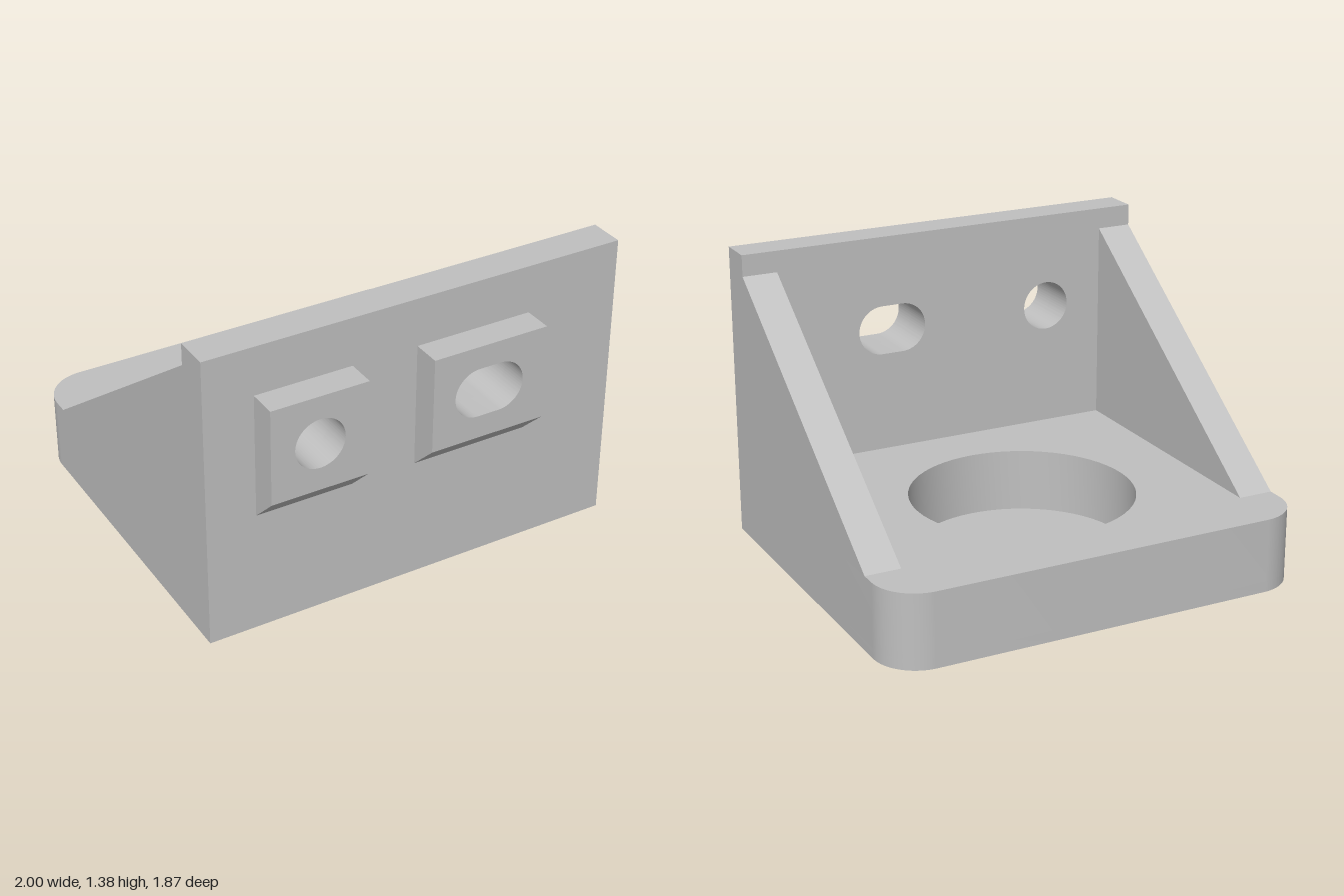
import * as THREE from 'three';
import { toCreasedNormals } from 'three/addons/utils/BufferGeometryUtils.js';

const grey = new THREE.MeshStandardMaterial({ color: 0xc0c0c0 });
grey.name = 'grey';

const WALL_BACK = 0.635, WALL_FRONT = 0.8, PAD_FRONT = 0.935;
const BASE_TOP = 0.346, FLOOR_TOP = 0.05, HOLE_Y = 0.935, HOLE_R = 0.117;

function polygon(points) {
  return new THREE.Shape(points.map(([x, y]) => new THREE.Vector2(x, y)));
}

function rectangle(x0, y0, x1, y1) {
  return polygon([[x0, y0], [x1, y0], [x1, y1], [x0, y1]]);
}

// Stadium hole between two arc centres; equal centres give a round hole
function slot(x0, x1) {
  const path = new THREE.Path();
  path.absarc(x1, HOLE_Y, HOLE_R, -Math.PI / 2, Math.PI / 2, false);
  path.absarc(x0, HOLE_Y, HOLE_R, Math.PI / 2, Math.PI * 1.5, false);
  return path;
}

function extrude(shape, depth) {
  return new THREE.ExtrudeGeometry(shape, { depth, bevelEnabled: false, curveSegments: 32 });
}

function addPart(group, name, geometry) {
  const mesh = new THREE.Mesh(toCreasedNormals(geometry, 0.5), grey);
  mesh.name = name;
  group.add(mesh);
  return mesh;
}

// Base outline in plan (shape y is -z), with two rounded rear corners
function baseOutline() {
  const r = 0.2, back = 0.935;
  const s = new THREE.Shape();
  s.moveTo(-1, -WALL_BACK);
  s.lineTo(1, -WALL_BACK);
  s.lineTo(1, back - r);
  s.absarc(1 - r, back - r, r, 0, Math.PI / 2, false);
  s.lineTo(-1 + r, back);
  s.absarc(-1 + r, back - r, r, Math.PI / 2, Math.PI, false);
  s.closePath();
  return s;
}

export function createModel() {
  const model = new THREE.Group();
  model.name = 'mountingBracket';

  // Base: thin floor below a slab with the round pocket
  addPart(model, 'baseFloor', extrude(baseOutline(), FLOOR_TOP).rotateX(-Math.PI / 2));
  const slab = baseOutline();
  slab.holes.push(new THREE.Path().absarc(0, 0.155, 0.515, 0, Math.PI * 2, false));
  addPart(model, 'baseSlab',
    extrude(slab, BASE_TOP - FLOOR_TOP).rotateX(-Math.PI / 2).translate(0, FLOOR_TOP, 0));

  // Pads: [left edge, right edge, first arc centre, second arc centre]
  const pads = [
    [-0.77, -0.315, -0.5425, -0.5425],
    [-0.005, 0.55, 0.22, 0.323],
  ];

  // Front wall with both holes
  const wall = rectangle(-1, 0, 1, 1.385);
  for (const [, , c0, c1] of pads) wall.holes.push(slot(c0, c1));
  addPart(model, 'frontWall', extrude(wall, WALL_FRONT - WALL_BACK).translate(0, 0, WALL_BACK));

  // Raised pads, lower edge drawn down towards the wall as a chamfer
  for (const [x0, x1, c0, c1] of pads) {
    const shape = rectangle(x0, 0.71, x1, 1.16);
    shape.holes.push(slot(c0, c1));
    const geo = extrude(shape, PAD_FRONT - WALL_FRONT);
    const p = geo.attributes.position;
    for (let i = 0; i < p.count; i++) {
      if (p.getZ(i) < 0.001 && p.getY(i) < 0.72) p.setY(i, 0.577);
    }
    addPart(model, c0 === c1 ? 'roundHolePad' : 'slotPad', geo.translate(0, 0, WALL_FRONT));
  }

  // Sloping side gussets, drawn in the z-y plane
  const gusset = polygon([[-0.667, BASE_TOP], [WALL_BACK, BASE_TOP], [WALL_BACK, 1.285]]);
  for (const [name, outer] of [['leftGusset', 1], ['rightGusset', -0.835]]) {
    addPart(model, name, extrude(gusset, 0.165).rotateY(-Math.PI / 2).translate(outer, 0, 0));
  }

  return model;
}
